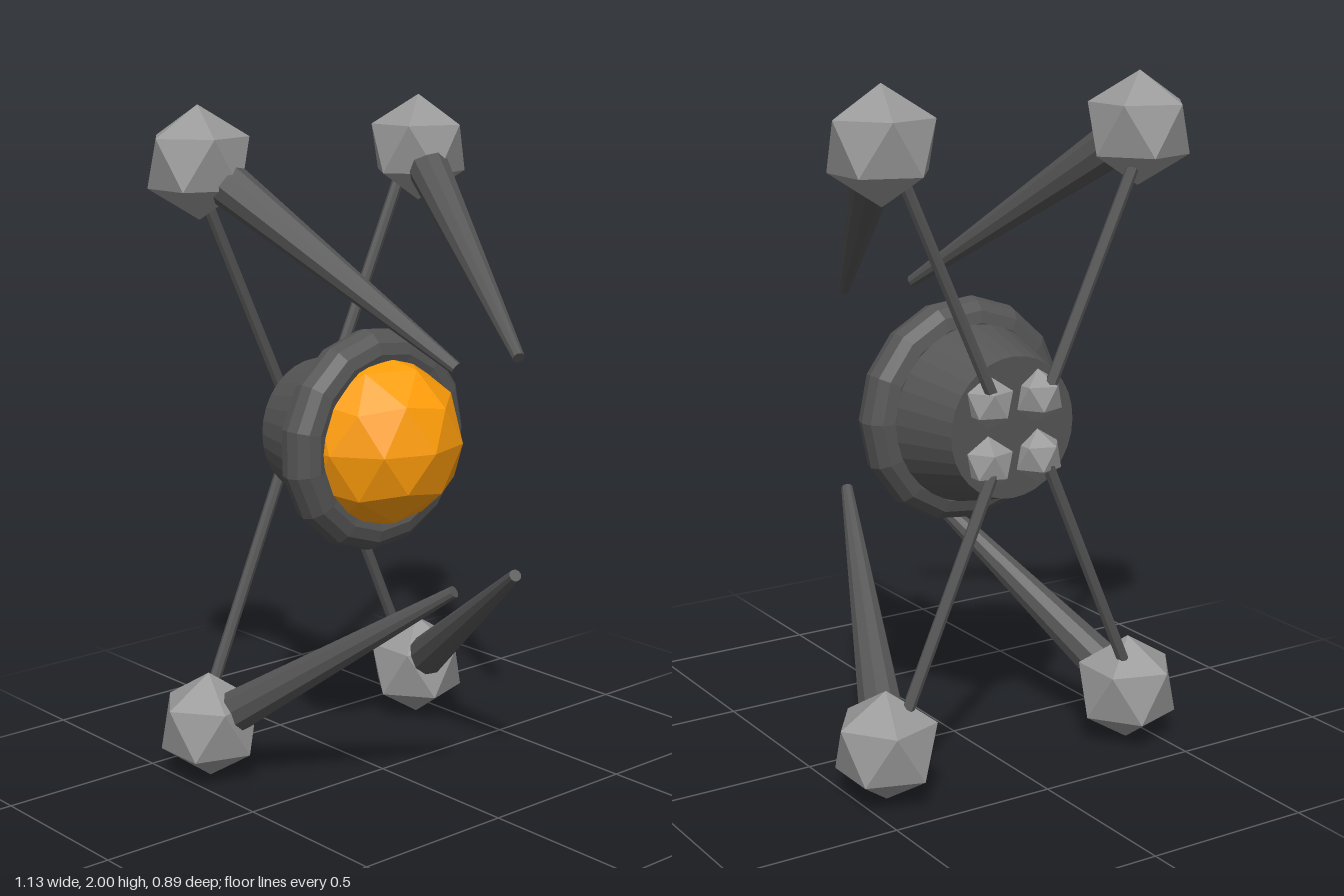
import * as THREE from 'three';

const mat = (color) => new THREE.MeshStandardMaterial({ color, flatShading: true });

// Icosahedral ball turned so one corner points straight up
function ballGeometry(radius, detail) {
  const g = new THREE.IcosahedronGeometry(radius, detail);
  g.rotateZ(-Math.atan(2 / (1 + Math.sqrt(5))));
  return g;
}

// Tapered bar between two points
function bar(name, from, to, r0, r1, sides, material) {
  const dir = to.clone().sub(from);
  const mesh = new THREE.Mesh(new THREE.CylinderGeometry(r1, r0, dir.length(), sides), material);
  mesh.position.copy(from).addScaledVector(dir, 0.5);
  mesh.quaternion.setFromUnitVectors(new THREE.Vector3(0, 1, 0), dir.normalize());
  mesh.name = name;
  return mesh;
}

export function createModel() {
  const model = new THREE.Group();
  model.name = 'model';
  const dark = mat(0x555555), light = mat(0x999999), orange = mat(0xff9d0a);

  const add = (name, geometry, material, x, y, z, parent = model) => {
    const mesh = new THREE.Mesh(geometry, material);
    mesh.name = name;
    mesh.position.set(x, y, z);
    parent.add(mesh);
    return mesh;
  };

  // Body: glowing core, rim and tapered housing
  const cy = 1.022;
  add('core', ballGeometry(0.26, 1), orange, 0, cy, -0.03);
  add('rim', new THREE.TorusGeometry(0.265, 0.069, 12, 15), dark, 0, cy, -0.04);
  const housing = add('housing', new THREE.CylinderGeometry(0.275, 0.205, 0.25, 32), dark, 0, cy, -0.185);
  housing.rotation.x = Math.PI / 2;

  // Four limbs: rear socket, strut, outer joint and forward claw
  const bigJoint = ballGeometry(0.162, 0), smallJoint = ballGeometry(0.077, 0);
  for (const up of [1, -1]) {
    for (const side of [1, -1]) {
      const limb = new THREE.Group();
      limb.name = `${up > 0 ? 'upper' : 'lower'}${side > 0 ? 'Left' : 'Right'}Limb`;
      model.add(limb);
      const turn = side > 0 ? 0 : Math.PI;
      const jointY = 1 + up * 0.838, socketY = 1.019 + up * 0.087;

      add('socket', smallJoint, light, side * 0.083, socketY, -0.31, limb).rotation.y = turn;
      add('joint', bigJoint, light, side * 0.42, jointY, -0.31, limb).rotation.y = turn;
      limb.add(bar('strut',
        new THREE.Vector3(side * 0.083, socketY, -0.35),
        new THREE.Vector3(side * 0.42, jointY, -0.35), 0.018, 0.018, 8, dark));
      limb.add(bar('claw',
        new THREE.Vector3(side * 0.415, 1 + up * 0.835, -0.3),
        new THREE.Vector3(side * 0.12, 1 + up * 0.315, 0.435), 0.07, 0.018, 10, dark));
    }
  }
  return model;
}
